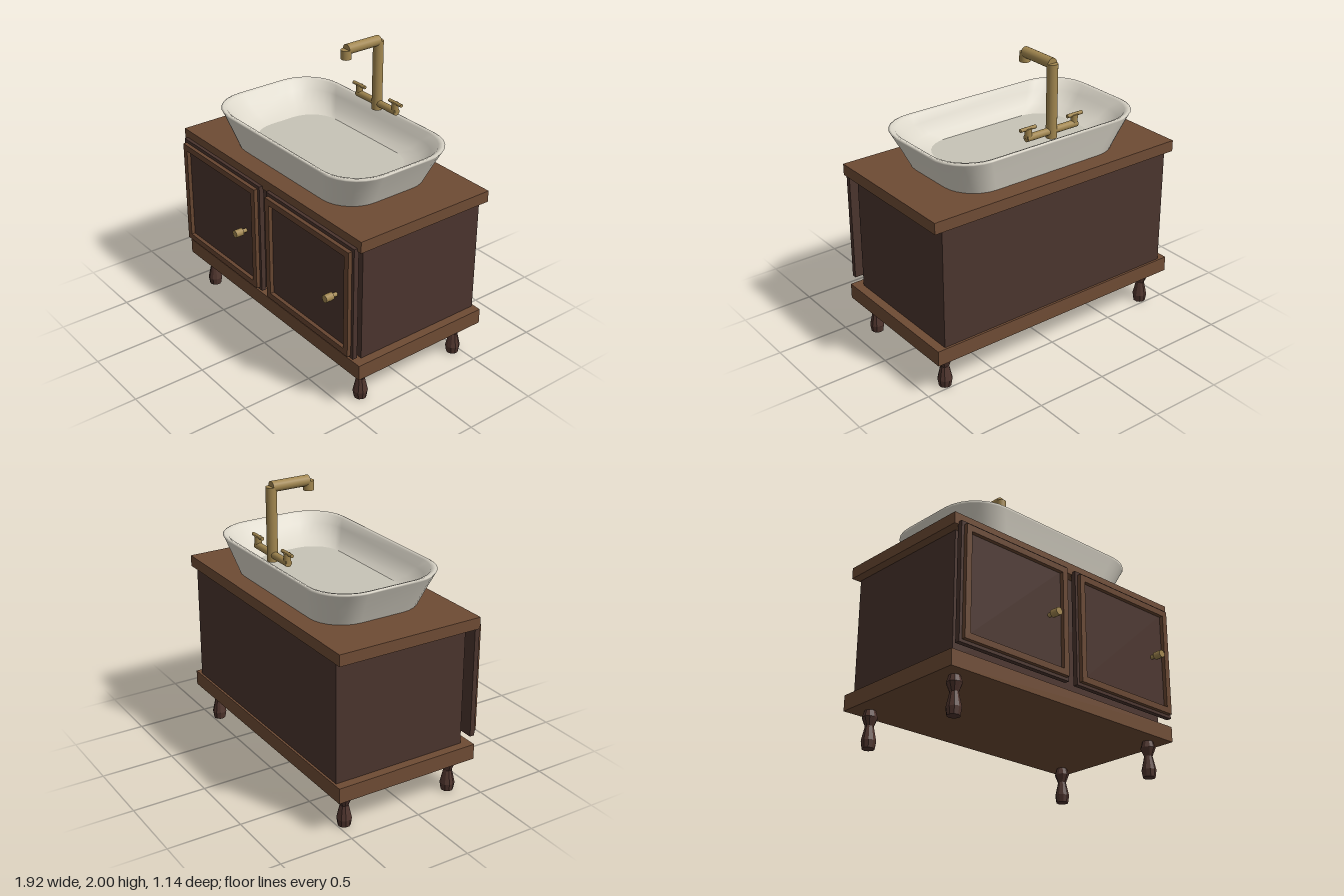
import * as THREE from 'three';

const mat = (name, color, side = THREE.FrontSide) => {
  const m = new THREE.MeshStandardMaterial({ color, side });
  m.name = name;
  return m;
};

export function createModel() {
  const wood = mat('brown wood', 0x6e4b34);
  const frameWood = mat('frame wood', 0x664530);
  const dark = mat('dark wood', 0x4a342d);
  const legWood = mat('leg wood', 0x4e342d);
  legWood.flatShading = true;
  const brass = mat('brass', 0xa1864f);
  const ceramic = mat('ceramic', 0xdcd7ca, THREE.DoubleSide);
  const floorGrey = mat('basin floor grey', 0xc7c4b7);

  const model = new THREE.Group();
  model.name = 'washstand';

  const add = (name, geo, material, x = 0, y = 0, z = 0, parent = model) => {
    const m = new THREE.Mesh(geo, material);
    m.name = name;
    m.position.set(x, y, z);
    parent.add(m);
    return m;
  };
  // Box given by its minimum and maximum corners
  const box = (name, material, a, b, parent) =>
    add(name, new THREE.BoxGeometry(b[0] - a[0], b[1] - a[1], b[2] - a[2]), material,
      (a[0] + b[0]) / 2, (a[1] + b[1]) / 2, (a[2] + b[2]) / 2, parent);
  // Cylinder between two points
  const rod = (name, r, a, b, sides = 20, parent = model) => {
    const p = new THREE.Vector3(...a), q = new THREE.Vector3(...b);
    const d = q.clone().sub(p);
    const m = add(name, new THREE.CylinderGeometry(r, r, d.length(), sides), brass, 0, 0, 0, parent);
    m.position.copy(p).add(q).multiplyScalar(0.5);
    m.quaternion.setFromUnitVectors(new THREE.Vector3(0, 1, 0), d.normalize());
    return m;
  };

  // Cabinet
  box('baseSlab', wood, [-0.96, 0.245, -0.565], [0.96, 0.35, 0.457]);
  box('cabinetBody', dark, [-0.9, 0.35, -0.55], [0.9, 1.16, 0.392]);
  box('counterTop', wood, [-0.96, 1.16, -0.565], [0.96, 1.237, 0.457]);

  // Turned legs
  const legProfile = [[0, 0], [0.041, 0], [0.049, 0.05], [0.028, 0.145], [0.05, 0.2], [0.036, 0.245]]
    .map(p => new THREE.Vector2(...p));
  const legGeo = new THREE.LatheGeometry(legProfile, 10);
  for (const x of [-0.84, 0.84])
    for (const z of [-0.453, 0.345]) add('leg', legGeo, legWood, x, 0, z);

  // Doors: dark panel, raised frame and knob
  const w = 0.848, h = 0.744, t = 0.042;
  const rect = (C, a, b) => new C([[-a, -b], [a, -b], [a, b], [-a, b]].map(p => new THREE.Vector2(...p)));
  const frameShape = rect(THREE.Shape, w / 2, h / 2);
  frameShape.holes.push(rect(THREE.Path, w / 2 - t, h / 2 - t));
  const frameGeo = new THREE.ExtrudeGeometry(frameShape, { depth: 0.027, bevelEnabled: false });
  for (const s of [-1, 1]) {
    const door = new THREE.Group();
    door.name = s < 0 ? 'rightDoor' : 'leftDoor';
    model.add(door);
    const cx = s * 0.482;
    box('doorPanel', dark, [cx - 0.445, 0.393, 0.447], [cx + 0.445, 1.18, 0.481], door);
    add('doorFrame', frameGeo, frameWood, cx, 0.785, 0.481, door);
    const kx = cx + 0.279;
    rod('knobStem', 0.014, [kx, 0.787, 0.48], [kx, 0.787, 0.52], 10, door);
    rod('knob', 0.026, [kx, 0.787, 0.515], [kx, 0.787, 0.572], 10, door);
  }

  // Basin: rounded-rectangle rings from the foot, over the rim, down to the floor
  const basin = new THREE.Group();
  basin.name = 'basin';
  basin.position.z = -0.057;
  model.add(basin);
  const SEG = 7;
  const ring = (a, b, r) => {
    const pts = [];
    [[1, 1], [-1, 1], [-1, -1], [1, -1]].forEach(([sx, sz], q) => {
      for (let i = 0; i <= SEG; i++) {
        const t = (q + i / SEG) * Math.PI / 2;
        pts.push([sx * (a - r) + r * Math.cos(t), sz * (b - r) + r * Math.sin(t)]);
      }
    });
    return pts;
  };
  const sections = [ // half width, half depth, corner radius, height
    [0.645, 0.382, 0.23, 1.237],
    [0.705, 0.418, 0.25, 1.36],
    [0.763, 0.450, 0.27, 1.468],
    [0.769, 0.455, 0.27, 1.480],
    [0.758, 0.444, 0.265, 1.486],
    [0.735, 0.424, 0.26, 1.478],
    [0.69, 0.398, 0.25, 1.42],
    [0.62, 0.356, 0.23, 1.35],
    [0.525, 0.302, 0.21, 1.31],
  ];
  const pos = [], idx = [], n = 4 * (SEG + 1);
  sections.forEach(([a, b, r, y], i) => {
    ring(a, b, r).forEach(([x, z], j) => {
      pos.push(x, y, z);
      if (i === sections.length - 1) return;
      const k = (j + 1) % n, p = i * n, q = p + n;
      idx.push(p + j, q + j, p + k, q + j, q + k, p + k);
    });
  });
  const bowl = new THREE.BufferGeometry();
  bowl.setAttribute('position', new THREE.Float32BufferAttribute(pos, 3));
  bowl.setIndex(idx);
  bowl.computeVertexNormals();
  add('basinBowl', bowl, ceramic, 0, 0, 0, basin);
  const floorShape = new THREE.Shape(ring(0.525, 0.302, 0.21).map(p => new THREE.Vector2(...p)));
  const floorGeo = new THREE.ShapeGeometry(floorShape).rotateX(-Math.PI / 2);
  add('basinFloor', floorGeo, floorGrey, 0, 1.31, 0, basin);

  // Tap: column, spout, outlet and two lever handles on a crossbar
  const tap = new THREE.Group();
  tap.name = 'tap';
  model.add(tap);
  const tz = -0.453;
  rod('tapColumn', 0.035, [0, 1.482, tz], [0, 1.965, tz], 20, tap);
  rod('tapSpout', 0.035, [0, 1.965, tz], [0, 1.965, -0.19], 20, tap);
  rod('tapOutlet', 0.035, [0, 1.903, -0.187], [0, 1.965, -0.187], 20, tap);
  rod('tapCrossbar', 0.024, [-0.2, 1.527, tz], [0.2, 1.527, tz], 16, tap);
  for (const s of [-1, 1]) {
    rod('handleStem', 0.023, [s * 0.183, 1.527, tz], [s * 0.183, 1.59, tz], 16, tap);
    rod('handleLever', 0.012, [s * 0.125, 1.588, tz], [s * 0.245, 1.588, tz], 12, tap);
  }
  return model;
}
